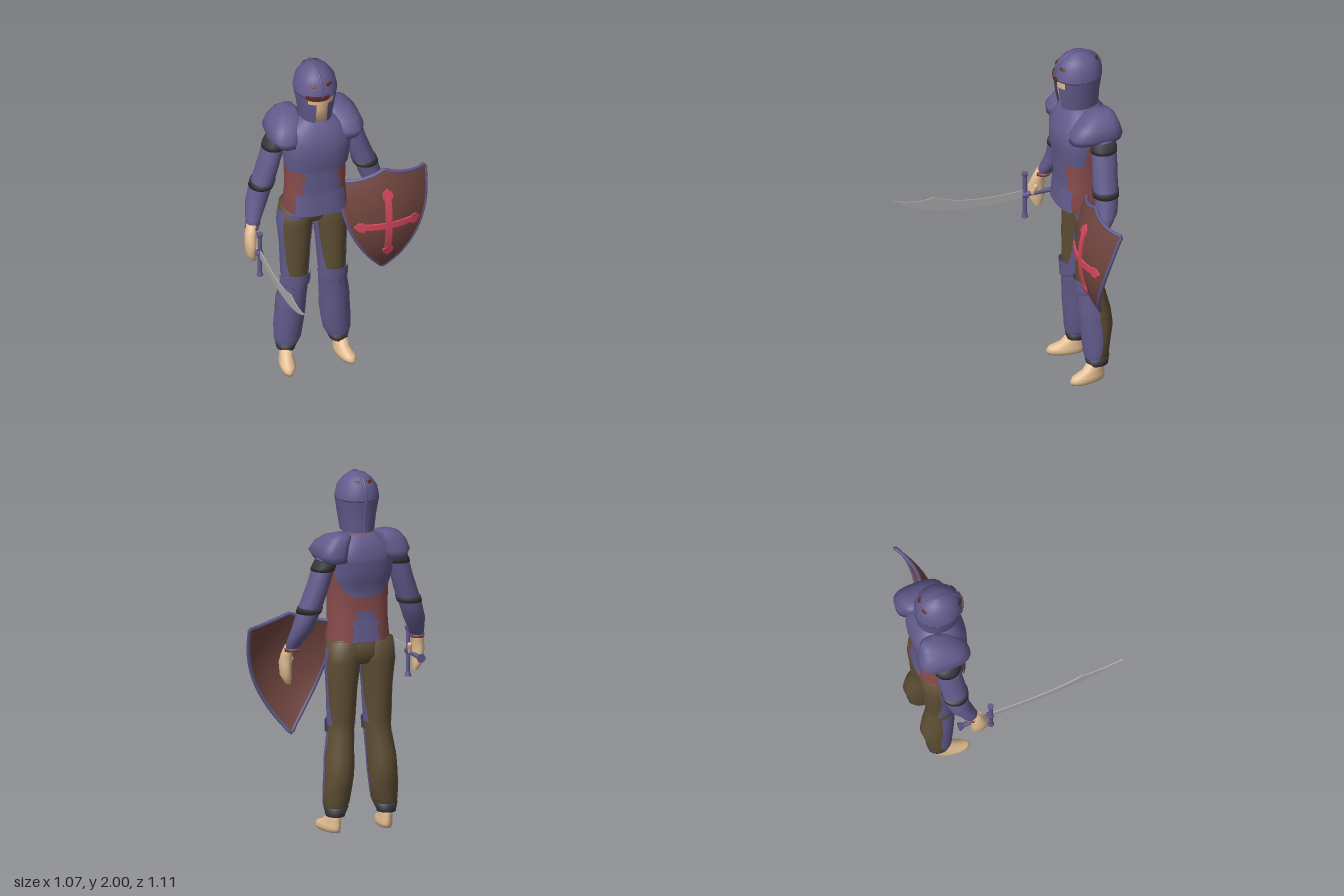
import * as THREE from 'three';

const CX = -0.105; // body's centre line
const BLUE = 0x625b8c, RED = 0x8a4d4c, OLIVE = 0x5e4e34, SKIN = 0xe2bd92, DARK = 0x35343a;
const SHIELD = 0x70443e, CROSS = 0xd2475c, STEEL = 0xaaaaaa, EYE = 0x5c2a24;
const lerp = THREE.MathUtils.lerp, rad = THREE.MathUtils.degToRad;

// Linear lookup in a table whose rows start with y
function sample(rows, y) {
  let i = 0;
  while (i < rows.length - 2 && y > rows[i + 1][0]) i++;
  const a = rows[i], b = rows[i + 1];
  const t = THREE.MathUtils.clamp((y - a[0]) / (b[0] - a[0]), 0, 1);
  return a.map((v, k) => lerp(v, b[k], t));
}

function mesh(group, name, geometry, color) {
  const m = new THREE.Mesh(geometry, new THREE.MeshStandardMaterial({ color, side: THREE.DoubleSide }));
  m.name = name;
  group.add(m);
  return m;
}

// Skin over horizontal rings. Rows are [y, inner, outer, zBack, zFront], widths measured from the centre line.
// An arc table of [y, halfAngle] makes an open plate lying on the same surface.
function loft(rows, { side = 1, arc = null, center = 0, grow = 0, power = 2, dz = 0, seg = 28 } = {}) {
  const full = !arc || arc.every(r => r[1] >= 180);
  const range = arc || [[rows[0][0], 180], [rows[rows.length - 1][0], 180]];
  const y0 = range[0][0], y1 = range[range.length - 1][0];
  const ys = new Set([...range.map(r => r[0]), ...rows.map(r => r[0]).filter(y => y > y0 && y < y1)]);
  const levels = [...ys].sort((a, b) => a - b);
  const cols = full ? seg : seg + 1, pos = [], idx = [];
  const bend = v => Math.sign(v) * Math.pow(Math.abs(v), 2 / power);
  for (const y of levels) {
    const [, a, b, zb, zf] = sample(rows, y), half = sample(range, y)[1];
    for (let i = 0; i < cols; i++) {
      const t = rad(center * side + lerp(-half, half, i / seg));
      pos.push(CX + side * (a + b) / 2 + ((b - a) / 2 + grow) * bend(Math.sin(t)), y,
        (zb + zf) / 2 + dz + ((zf - zb) / 2 + grow) * bend(Math.cos(t)));
    }
  }
  const n = levels.length;
  for (let j = 0; j < n - 1; j++) for (let i = 0; i < seg; i++) {
    const k = (i + 1) % cols, p = j * cols, q = p + cols;
    idx.push(p + i, p + k, q + k, p + i, q + k, q + i);
  }
  if (full) for (const j of [0, n - 1]) { // end caps
    const [, a, b, zb, zf] = sample(rows, levels[j]), c = pos.length / 3;
    pos.push(CX + side * (a + b) / 2, levels[j], (zb + zf) / 2 + dz);
    for (let i = 0; i < seg; i++) {
      const p = j * cols + i, q = j * cols + (i + 1) % cols;
      j ? idx.push(p, q, c) : idx.push(q, p, c);
    }
  }
  const g = new THREE.BufferGeometry();
  g.setAttribute('position', new THREE.Float32BufferAttribute(pos, 3));
  g.setIndex(idx);
  g.computeVertexNormals();
  return g;
}

const HELMET = [[1.675, -.09, .09, -.49, -.265], [1.76, -.103, .103, -.495, -.25], [1.86, -.12, .12, -.51, -.24],
  [1.92, -.108, .108, -.5, -.255], [1.96, -.08, .08, -.475, -.285], [1.985, -.05, .05, -.435, -.32], [1.997, -.015, .015, -.4, -.36]];
const TORSO = [[1.05, -.165, .165, -.5, -.3], [1.07, -.175, .175, -.515, -.25], [1.2, -.166, .166, -.5, -.262], [1.36, -.17, .17, -.5, -.258],
  [1.45, -.182, .182, -.525, -.245], [1.54, -.185, .185, -.532, -.247], [1.62, -.15, .15, -.52, -.285], [1.665, -.07, .07, -.47, -.33]];
const LEG = [[.1, .105, .195, -.485, -.375], [.17, .07, .213, -.497, -.362], [.25, .058, .212, -.51, -.355], [.33, .048, .207, -.525, -.345], [.42, .044, .202, -.515, -.34],
  [.55, .037, .18, -.485, -.332], [.62, .033, .18, -.49, -.328], [.8, .02, .186, -.5, -.325], [.95, .002, .2, -.51, -.33], [1.07, -.02, .19, -.51, -.33]];
const ARM = [[1.02, .345, .41, -.36, -.285], [1.08, .315, .407, -.39, -.3], [1.15, .275, .395, -.44, -.322], [1.22, .25, .375, -.455, -.325],
  [1.3, .22, .348, -.465, -.325], [1.4, .19, .312, -.475, -.335], [1.5, .16, .283, -.48, -.34], [1.6, .13, .23, -.47, -.36]];
const HAND = [[.83, .365, .395, -.31, -.27], [.88, .365, .425, -.335, -.245], [.95, .365, .43, -.335, -.24],
  [1, .362, .425, -.335, -.265], [1.05, .355, .41, -.35, -.285]];
const PAULDRON = [[1.53, .1, .245, -.555, -.265], [1.57, .095, .27, -.557, -.265], [1.62, .085, .25, -.545, -.3],
  [1.66, .075, .215, -.53, -.36], [1.68, .09, .17, -.51, -.42]];

function addHead(g) {
  mesh(g, 'neck', loft([[1.6, -.07, .07, -.45, -.31], [1.7, -.06, .06, -.44, -.31]]), SKIN);
  mesh(g, 'face', loft(HELMET, { arc: [[1.675, 180], [1.9, 180]], grow: -.014 }), SKIN);
  mesh(g, 'helmetDome', loft(HELMET, { arc: [[1.85, 180], [1.997, 180]] }), BLUE);
  mesh(g, 'helmetEyeBand', loft(HELMET, { arc: [[1.81, 140], [1.85, 140]], center: 180 }), BLUE);
  mesh(g, 'helmetCheeks', loft(HELMET, { arc: [[1.675, 160], [1.81, 163]], center: 180 }), BLUE);
  mesh(g, 'visorSlit', loft(HELMET, { arc: [[1.84, 22], [1.852, 33], [1.872, 30]], center: -13, grow: .005 }), EYE);
  const ridge = [...HELMET.slice(2).map(r => new THREE.Vector3(CX, r[0], r[4])),
    ...HELMET.slice().reverse().map(r => new THREE.Vector3(CX, r[0], r[3]))];
  mesh(g, 'helmetCrest', new THREE.TubeGeometry(new THREE.CatmullRomCurve3(ridge), 40, .007, 6), BLUE);
  for (const c of [-25, 25]) for (const [y, base] of [[1.925, 0], [1.955, 180]])
    mesh(g, 'helmetVent', loft(HELMET, { arc: [[y - .007, 9], [y + .008, 12]], center: base + c, grow: .004, seg: 4 }), EYE);
}

function addTorso(g) {
  const plate = (name, arc, center, grow = .008) =>
    mesh(g, name, loft(TORSO, { arc, center, grow, power: 2.5 }), BLUE);
  mesh(g, 'tunic', loft(TORSO, { power: 2.5 }), RED);
  plate('breastplate', [[1.36, 80], [1.45, 82], [1.62, 88], [1.665, 90]], 0, .011);
  plate('backplate', [[1.32, 20], [1.36, 40], [1.4, 52], [1.52, 65], [1.665, 90]], 180);
  plate('bellyPlate', [[1.19, 40], [1.22, 32], [1.27, 34], [1.31, 24], [1.37, 36]], 0, .005);
  plate('waistPlate', [[1.07, 52], [1.12, 47], [1.2, 50]], 0, .009);
  plate('lowerBackPlate', [[1.07, 22], [1.15, 18], [1.18, 24], [1.2, 12], [1.24, 14]], 180, .005);
  mesh(g, 'hips', loft([[.94, -.05, .05, -.48, -.37], [.99, -.14, .14, -.505, -.34], [1.08, -.172, .172, -.51, -.32]], { power: 2.4 }), OLIVE);
}

function addLeg(g, side) {
  const plate = (name, arc, center, grow, color = BLUE) =>
    mesh(g, name, loft(LEG, { side, arc, center, grow }), color);
  mesh(g, 'trouserLeg', loft(LEG, { side }), OLIVE);
  plate('outerThighPlate', [[.6, 42], [.72, 24], [.85, 20], [1.04, 26]], 78, .004);
  plate('innerThighPlate', [[.6, 42], [.72, 24], [.85, 18], [.98, 20]], -78, .004);
  plate('hipPlate', [[1, 8], [1.015, 30], [1.03, 26]], 15, .005);
  plate('greave', [[.14, 85], [.25, 95], [.4, 88], [.56, 100]], 0, .006);
  plate('kneeGuard', [[.53, 10], [.56, 75], [.6, 85], [.615, 60], [.63, 25]], 0, .016);
  plate('ankleCuff', [[.095, 180], [.145, 180]], 0, .006, DARK);
  // Foot: sole to ankle, toes turned slightly outward
  const foot = new THREE.Group();
  foot.name = 'foot';
  mesh(foot, 'footSkin', loft([[0, -.036, .04, -.1, .1], [.02, -.044, .048, -.105, .108], [.04, -.042, .044, -.105, .095],
    [.065, -.036, .036, -.102, .03], [.12, -.036, .036, -.1, -.015]].map(r => [r[0], r[1] - CX, r[2] - CX, r[3], r[4]])), SKIN);
  foot.position.set(CX + side * .163, .003, -.368);
  foot.rotation.y = side * .18;
  g.add(foot);
}

function addArm(g, side) {
  const dz = side > 0 ? -.03 : 0;
  const band = (name, arc, grow, color) => mesh(g, name, loft(ARM, { side, arc, grow, dz }), color);
  mesh(g, 'sleeve', loft(ARM, { side, dz }), BLUE);
  band('elbowBand', [[1.245, 180], [1.275, 180]], .006, DARK);
  band('upperArmBand', [[1.48, 180], [1.54, 180]], .004, DARK);
  band('wristCuff', [[1.02, 180], [1.04, 180]], .005, RED);
  mesh(g, 'hand', loft(HAND, { side, dz, seg: 16 }), SKIN);
  const thumb = mesh(g, 'thumb', new THREE.CapsuleGeometry(.014, .05, 4, 8), SKIN);
  thumb.position.set(CX + side * .362, .94, -.262 + dz);
  thumb.rotation.set(-.35, 0, side * .25);
  mesh(g, 'pauldron', loft(PAULDRON, { side, power: 2.7 }), BLUE);
}

function addSword(g) {
  const sword = new THREE.Group();
  sword.name = 'sword';
  const s = new THREE.Shape(); // drawn in z, y
  s.moveTo(-.21, .945);
  s.bezierCurveTo(.02, .93, .2, .95, .32, 1.015);
  s.quadraticCurveTo(.4, .99, .555, 1.04);
  s.bezierCurveTo(.4, .93, .2, .88, -.21, .895);
  const blade = new THREE.ExtrudeGeometry(s, { depth: .006, bevelEnabled: false, curveSegments: 10 });
  blade.rotateY(-Math.PI / 2);
  mesh(sword, 'blade', blade, STEEL).position.x = -.472;
  const rod = (name, r0, r1, len, y, z, alongZ) => {
    const m = mesh(sword, name, new THREE.CylinderGeometry(r0, r1, len, 10), BLUE);
    m.position.set(-.475, y, z);
    if (alongZ) m.rotation.x = Math.PI / 2;
  };
  rod('guard', .012, .012, .26, .912, -.212);
  rod('guardTop', .019, .013, .025, 1.04, -.212);
  rod('guardBottom', .013, .019, .025, .786, -.212);
  rod('guardCollar', .017, .023, .03, .915, -.212, true);
  rod('grip', .013, .013, .17, .915, -.295, true);
  rod('pommel', .015, .026, .03, .915, -.385, true);
  g.add(sword);
}

function addShield(g) {
  const shield = new THREE.Group();
  shield.name = 'shield';
  const X = .275;
  const depth = (x, y) => -.245 - 1.25 * (x - X) ** 2 - .85 * (y - .92) ** 2;
  // Point on the shield: u across from -1 to 1, t up from the tip
  const point = (u, t, off = 0) => {
    const x = X + u * .25 * (1 - (1 - t) ** 2.2);
    const y = .565 + t * (.605 + .055 * (1 - Math.abs(u)) ** 1.8);
    return new THREE.Vector3(x, y, depth(x, y) + off);
  };
  for (const [name, off] of [['shieldFront', 0], ['shieldBack', -.016]]) {
    const geo = new THREE.PlaneGeometry(2, 1, 20, 20), p = geo.attributes.position;
    for (let i = 0; i < p.count; i++) p.setXYZ(i, ...point(p.getX(i), p.getY(i) + .5, off).toArray());
    geo.computeVertexNormals();
    mesh(shield, name, geo, SHIELD);
  }
  const edge = [];
  for (let i = 0; i < 16; i++) edge.push(point(1, i / 16, -.008));
  for (let i = 0; i < 16; i++) edge.push(point(1 - i / 8, 1, -.008));
  for (let i = 0; i < 16; i++) edge.push(point(-1, 1 - i / 16, -.008));
  mesh(shield, 'shieldRim', new THREE.TubeGeometry(new THREE.CatmullRomCurve3(edge, true), 96, .011, 6, true), BLUE);
  // Cross pieces are laid flat, then bent onto the shield
  const lay = (name, geo, x, y) => {
    geo.translate(x, y, 0);
    const p = geo.attributes.position;
    for (let i = 0; i < p.count; i++) p.setZ(i, p.getZ(i) + depth(p.getX(i), p.getY(i)) + .004);
    geo.computeVertexNormals();
    mesh(shield, name, geo, CROSS);
  };
  lay('crossUpright', new THREE.BoxGeometry(.036, .39, .014, 1, 12, 1), X, .912);
  lay('crossBar', new THREE.BoxGeometry(.32, .036, .014, 12, 1, 1), X, .912);
  const tip = new THREE.Shape([[-.03, -.015], [0, -.03], [.03, -.015], [.026, .012], [0, .034], [-.026, .012]].map(c => new THREE.Vector2(...c)));
  for (const [x, y, turn] of [[X, 1.1, 0], [X, .727, Math.PI], [X - .153, .912, Math.PI / 2], [X + .153, .912, -Math.PI / 2]])
    lay('crossTip', new THREE.ExtrudeGeometry(tip, { depth: .01, bevelEnabled: false }).rotateZ(turn), x, y);
  g.add(shield);
}

export function createModel() {
  const g = new THREE.Group();
  g.name = 'knight';
  addHead(g);
  addTorso(g);
  for (const side of [-1, 1]) {
    addLeg(g, side);
    addArm(g, side);
  }
  addSword(g);
  addShield(g);
  return g;
}
